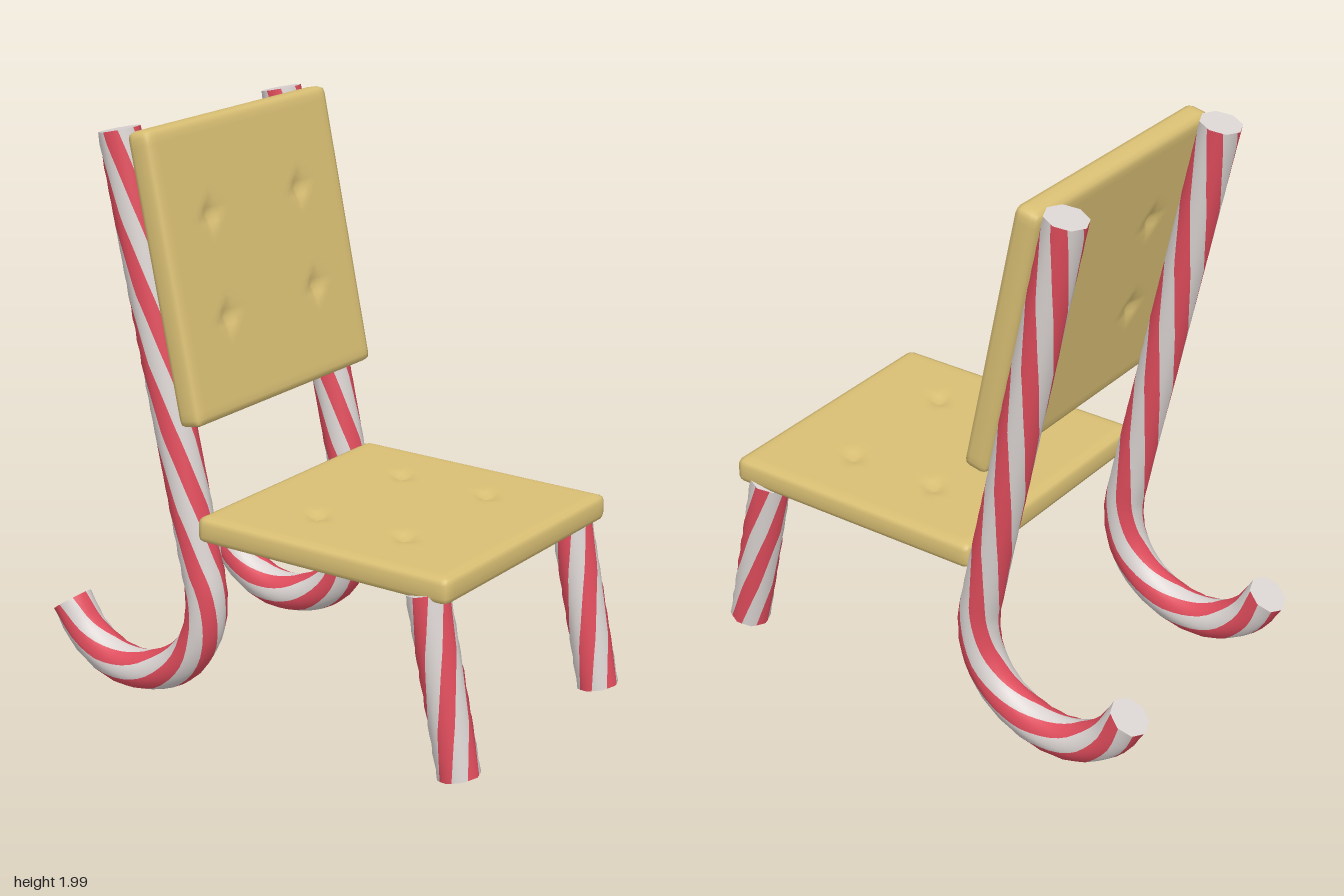
import * as THREE from 'three';
import { mergeVertices } from 'three/addons/utils/BufferGeometryUtils.js';

const mat = (name, color) => Object.assign(new THREE.MeshStandardMaterial({ color }), { name });

const R = 0.074;          // cane radius
const STRIPES = 8;        // alternating red and white bands around the cane
const SUB = 3;            // columns per band

// Radius of an octagon with corners on the axes
function octagonRadius(a) {
  const step = Math.PI / 4;
  const local = ((a % step) + step) % step;
  return R * Math.cos(step / 2) / Math.cos(local - step / 2);
}

// Striped tube along a curve in the y-z plane; bands twist by `twist` radians per unit
function stripedTube(curve, rows, twist, endPhase) {
  const pos = [], nor = [], index = [];
  const cols = STRIPES * SUB;
  const length = curve.getLength();
  const X = new THREE.Vector3(1, 0, 0);
  for (let i = 0; i <= rows; i++) {
    const t = i / rows;
    const c = curve.getPointAt(t);
    const N = curve.getTangentAt(t).cross(X).normalize();
    for (let j = 0; j <= cols; j++) {
      const a = (j / cols) * Math.PI * 2 + endPhase + twist * length * (t - 1);
      const n = X.clone().multiplyScalar(Math.cos(a)).addScaledVector(N, Math.sin(a));
      const p = c.clone().addScaledVector(n, octagonRadius(a));
      pos.push(p.x, p.y, p.z);
      nor.push(n.x, n.y, n.z);
    }
  }
  const g = new THREE.BufferGeometry();
  for (let colour = 0; colour < 2; colour++) {
    const start = index.length;
    for (let i = 0; i < rows; i++) {
      for (let j = 0; j < cols; j++) {
        if (Math.floor(j / SUB) % 2 !== colour) continue;
        const a = i * (cols + 1) + j, b = a + 1, c = b + cols + 1, d = c - 1;
        index.push(a, b, c, a, c, d);
      }
    }
    g.addGroup(start, index.length - start, colour);
  }
  g.setAttribute('position', new THREE.Float32BufferAttribute(pos, 3));
  g.setAttribute('normal', new THREE.Float32BufferAttribute(nor, 3));
  g.setIndex(index);
  return g;
}

// Striped cane with flat white ends
function makeCane(name, curve, rows, twist, phase, red, white) {
  const group = new THREE.Group();
  group.name = name;
  const tube = new THREE.Mesh(stripedTube(curve, rows, twist, phase), [red, white]);
  tube.name = 'stripedTube';
  group.add(tube);
  for (const [t, sign] of [[0, -1], [1, 1]]) {
    const cap = new THREE.Mesh(new THREE.CircleGeometry(R, 8), white);
    cap.name = 'caneEnd';
    cap.position.copy(curve.getPointAt(t));
    cap.lookAt(cap.position.clone().addScaledVector(curve.getTangentAt(t), sign));
    group.add(cap);
  }
  return group;
}

// Bevelled square slab lying flat, with four tufted dimples on top (and underneath if asked)
function cushionGeometry(size, thick, bothSides) {
  const g = new THREE.BoxGeometry(size, thick, size, 40, 4, 40);
  const half = new THREE.Vector3(size / 2, thick / 2, size / 2);
  const r = 0.022;
  const inner = half.clone().subScalar(r);
  const p = g.attributes.position;
  const v = new THREE.Vector3(), core = new THREE.Vector3();
  for (let i = 0; i < p.count; i++) {
    v.fromBufferAttribute(p, i);
    const side = Math.sign(v.y);
    const flat = Math.abs(v.y) > half.y - 1e-4;
    core.copy(v).clamp(inner.clone().negate(), inner);
    v.sub(core).setLength(r).add(core);
    if (flat && (side > 0 || bothSides)) {
      const d = Math.abs(Math.abs(v.x) - size * 0.25) + Math.abs(Math.abs(v.z) - size * 0.175);
      v.y -= side * 0.022 * Math.max(0, 1 - d / 0.06);
    }
    p.setXYZ(i, v.x, v.y, v.z);
  }
  g.deleteAttribute('uv');
  g.deleteAttribute('normal');
  const merged = mergeVertices(g, 1e-5);
  merged.computeVertexNormals();
  return merged;
}

export function createModel() {
  const model = new THREE.Group();
  model.name = 'candyCaneChair';
  const biscuit = mat('biscuit', 0xd9bf74);
  const red = mat('candyRed', 0xdf4c5c);
  const white = mat('candyWhite', 0xdad3d1);

  // Seat slab
  const seat = new THREE.Mesh(cushionGeometry(0.995, 0.09, false), biscuit);
  seat.name = 'seat';
  seat.position.set(0, 0.675, 0.295);
  model.add(seat);

  // Backrest slab, leaning back
  const back = new THREE.Mesh(cushionGeometry(0.99, 0.09, true), biscuit);
  back.name = 'backrest';
  back.position.set(0, 1.508, -0.327);
  back.rotation.x = Math.PI / 2 - 0.205;
  model.add(back);

  // Hooked rear canes and short front legs, mirrored left and right
  const hook = [
    [0.267, -0.812], [0.162, -0.74], [0.095, -0.635], [0.077, -0.525], [0.105, -0.4],
    [0.175, -0.295], [0.29, -0.225], [0.42, -0.208], [0.56, -0.233], [1.0, -0.328],
    [1.5, -0.436], [1.982, -0.54],
  ];
  for (const [side, x] of [['left', 0.442], ['right', -0.442]]) {
    const rear = new THREE.CatmullRomCurve3(hook.map(([y, z]) => new THREE.Vector3(x, y, z)));
    model.add(makeCane(side + 'RearCane', rear, 64, -3.2, -0.15, red, white));

    const front = new THREE.LineCurve3(
      new THREE.Vector3(x, 0.038, 0.815), new THREE.Vector3(x, 0.645, 0.685));
    model.add(makeCane(side + 'FrontLeg', front, 20, 3.2, -0.15, red, white));
  }
  return model;
}
